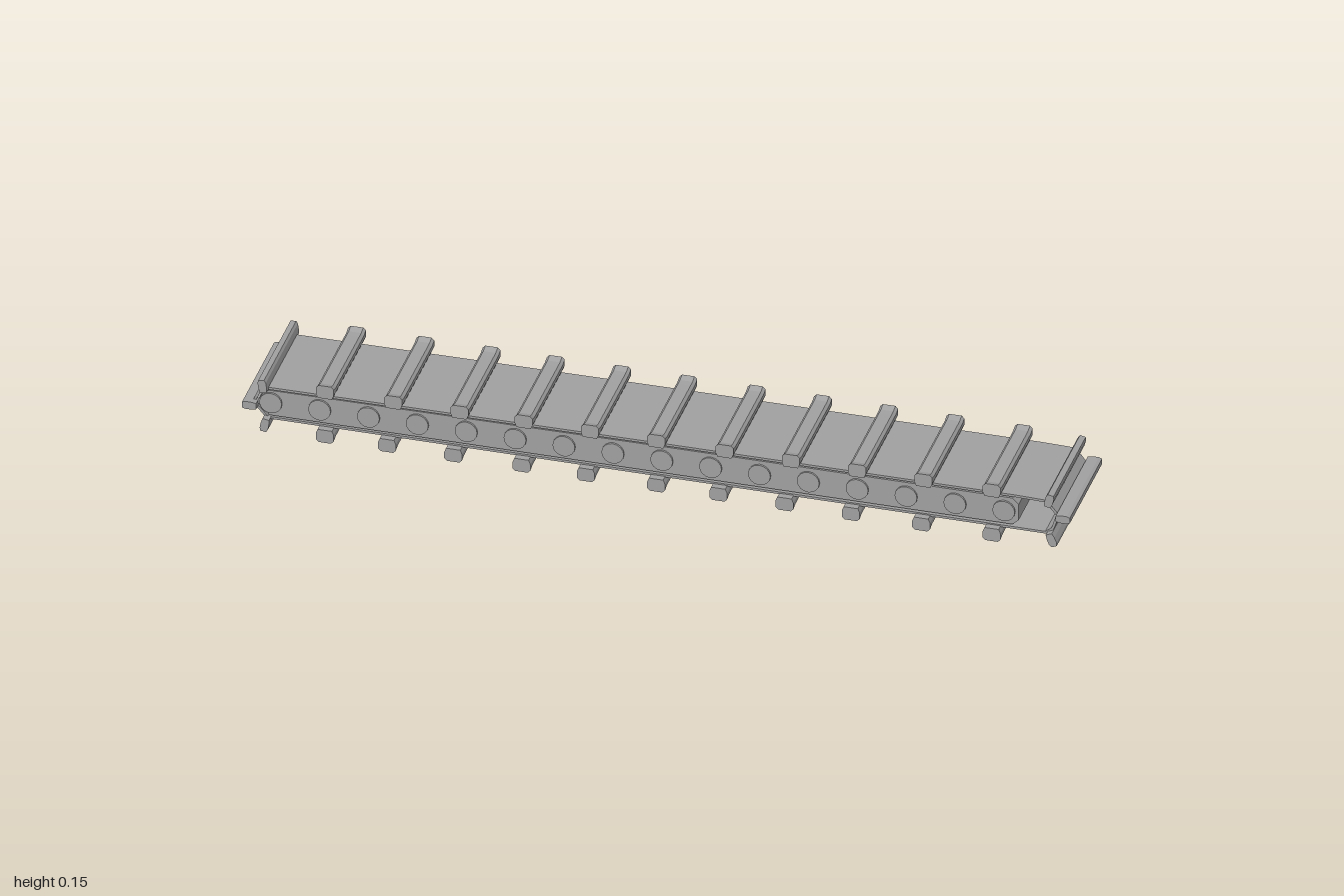
import * as THREE from 'three';

const steel = new THREE.MeshStandardMaterial({ color: 0xa0a0a0, flatShading: true });
steel.name = 'grey steel';

const toShape = pts => new THREE.Shape(pts.map(p => new THREE.Vector2(p[0], p[1])));

// Extrude a front outline between two depths
function slab(shape, z0, z1) {
  const geo = new THREE.ExtrudeGeometry(shape, { depth: z1 - z0, bevelEnabled: false, curveSegments: 8 });
  return geo.translate(0, 0, z0);
}

function addMesh(parent, name, geo) {
  const mesh = new THREE.Mesh(geo, steel);
  mesh.name = name;
  parent.add(mesh);
  return mesh;
}

// Cross bar with chamfered crown; its base sits at y = 0 and its ends flare outward
function cleatGeometry(width, height, flare) {
  const w = width / 2;
  const profile = toShape([
    [-w * 0.8, -0.003], [w * 0.8, -0.003], [w, height * 0.3], [w, height * 0.75],
    [w * 0.7, height], [-w * 0.7, height], [-w, height * 0.75], [-w, height * 0.3],
  ]);
  const geo = new THREE.ExtrudeGeometry(profile, { depth: 0.276, steps: 16, bevelEnabled: false });
  geo.translate(0, 0, -0.138);
  const p = geo.attributes.position;
  for (let i = 0; i < p.count; i++) {
    const t = Math.max(0, (Math.abs(p.getZ(i)) - 0.12) / 0.018);
    if (p.getY(i) > height * 0.5) p.setY(i, p.getY(i) + flare * t);
  }
  geo.computeVertexNormals();
  return geo;
}

export function createModel() {
  const model = new THREE.Group();
  model.name = 'conveyor';

  // Belt: thin closed loop with angular ends
  const belt = toShape([
    [-0.945, 0.033], [0.938, 0.031], [0.955, 0.045], [0.969, 0.085], [0.94, 0.122],
    [0.86, 0.124], [0, 0.123], [-0.945, 0.118], [-0.965, 0.108], [-0.98, 0.073],
  ]);
  belt.holes.push(new THREE.Path([
    [-0.941, 0.039], [-0.973, 0.073], [-0.96, 0.103], [-0.943, 0.112], [0, 0.117],
    [0.86, 0.118], [0.936, 0.116], [0.961, 0.085], [0.95, 0.049], [0.935, 0.037],
  ].map(p => new THREE.Vector2(p[0], p[1]))));
  addMesh(model, 'belt', slab(belt, -0.123, 0.121));

  // Frame carrying the rollers
  const frame = toShape([
    [-0.938, 0.042], [0.855, 0.042], [0.87, 0.055], [0.87, 0.098], [0.855, 0.113],
    [0, 0.113], [-0.94, 0.109], [-0.955, 0.1], [-0.969, 0.073],
  ]);
  addMesh(model, 'frame', slab(frame, -0.02, 0.119));

  // Sixteen rollers through the frame
  const rollers = new THREE.Group();
  rollers.name = 'rollers';
  const rollerGeo = new THREE.CylinderGeometry(0.027, 0.027, 0.174, 16).rotateX(Math.PI / 2);
  for (let i = 0; i < 16; i++) {
    addMesh(rollers, 'roller', rollerGeo).position.set(-0.935 + i * 0.118, 0.077, 0.037);
  }
  model.add(rollers);

  // Cleats along the upper and lower runs
  const cleats = new THREE.Group();
  cleats.name = 'cleats';
  const cleatGeo = cleatGeometry(0.043, 0.026, 0.005);
  const upper = [-0.8, -0.635, -0.475, -0.32, -0.16, 0, 0.165, 0.325, 0.485, 0.645, 0.81];
  const lower = [-0.8, -0.65, -0.49, -0.325, -0.17, 0, 0.15, 0.31, 0.47, 0.64, 0.81];
  for (const x of upper) addMesh(cleats, 'upperCleat', cleatGeo).position.set(x, 0.123, 0);
  for (const x of lower) {
    const cleat = addMesh(cleats, 'lowerCleat', cleatGeo);
    cleat.position.set(x, 0.031, 0);
    cleat.rotation.z = Math.PI;
  }

  // Narrow cleats turning around both ends: x, y, outward angle
  const endGeo = cleatGeometry(0.02, 0.031, 0);
  const ends = [
    [0.945, 0.117, -0.25], [0.968, 0.086, -Math.PI / 2], [0.949, 0.038, -2.75],
    [-0.949, 0.114, 0.15], [-0.969, 0.071, Math.PI / 2], [-0.943, 0.037, 2.95],
  ];
  for (const [x, y, angle] of ends) {
    const cleat = addMesh(cleats, 'endCleat', endGeo);
    cleat.position.set(x, y, 0);
    cleat.rotation.z = angle;
  }
  model.add(cleats);

  return model;
}
